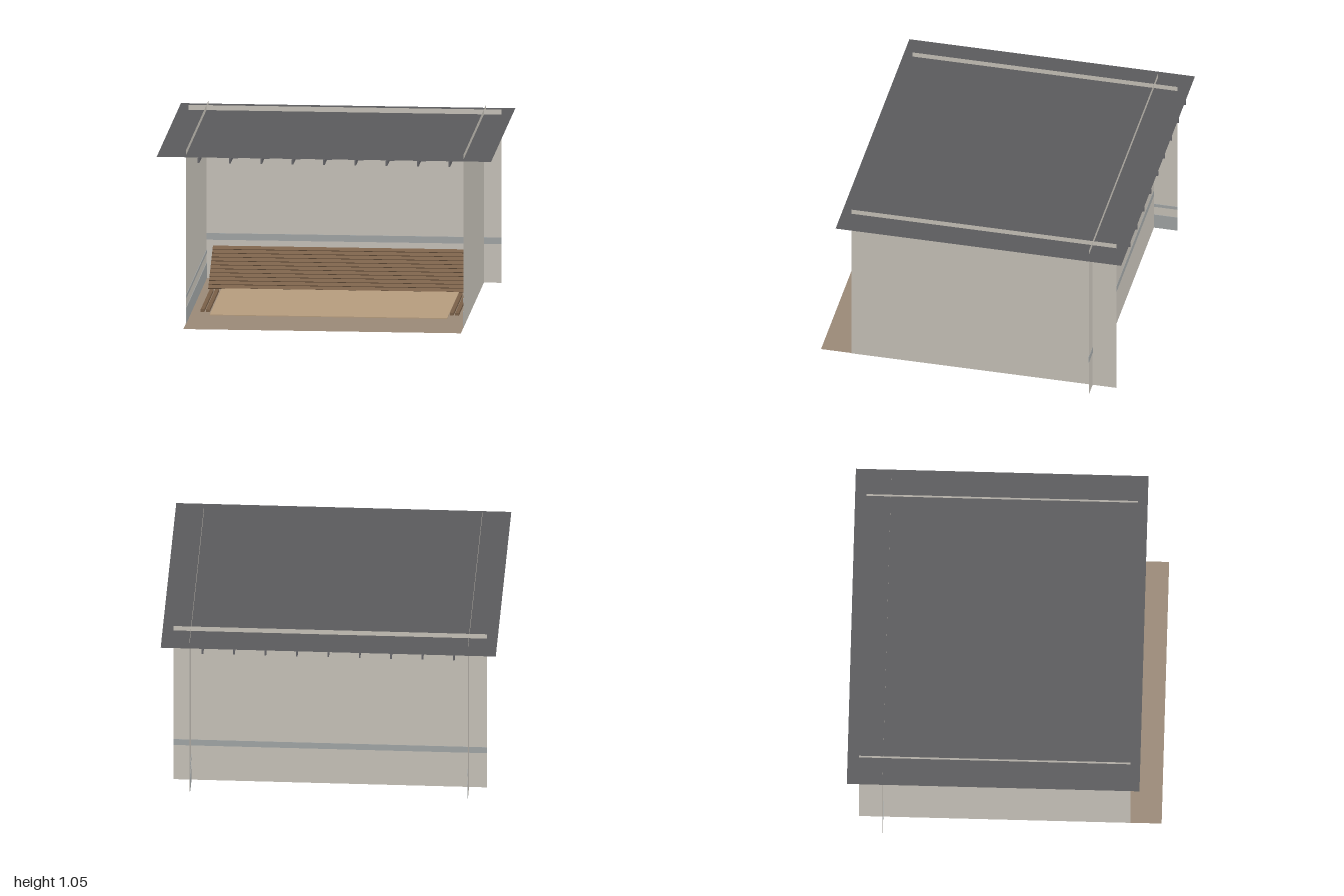
import * as THREE from 'three';

const mat = (color) => new THREE.MeshStandardMaterial({ color, side: THREE.DoubleSide });

export function createModel() {
  const model = new THREE.Group();
  const plaster = mat(0xc8c3ba), blue = mat(0xa2a6a6), roofGrey = mat(0x5b5b5d);
  const earth = mat(0x9b8a78), tan = mat(0xb79d7e), wood = mat(0x7a6048), beam = mat(0x66666a);

  const add = (name, geometry, material, x, y, z) => {
    const mesh = new THREE.Mesh(geometry, material);
    mesh.name = name;
    mesh.position.set(x, y, z);
    model.add(mesh);
    return mesh;
  };
  const box = (name, material, w, h, d, x, y, z) =>
    add(name, new THREE.BoxGeometry(w, h, d), material, x, y, z);

  const backZ = -0.725, sideX = 0.83, wallTop = 1.05;

  // Thin floor with an inset mat that shows on both faces
  add('floor', new THREE.PlaneGeometry(1.66, 1.66).rotateX(-Math.PI / 2), earth, 0, 0.002, 0.105);
  box('floorMat', tan, 1.42, 0.008, 0.86, 0, 0.003, 0.05);

  // Paper-thin walls that cross at the back corners
  add('backWall', new THREE.PlaneGeometry(1.872, wallTop), plaster, 0, wallTop / 2, backZ);
  box('backWallBand', blue, 1.872, 0.04, 0.004, 0, 0.255, backZ + 0.001);
  for (const s of [-1, 1]) {
    add('sideWall', new THREE.PlaneGeometry(1.62, wallTop).rotateY(Math.PI / 2),
      plaster, s * sideX, wallTop / 2, -0.06);
    // Skirting and a narrow stripe on the inner face
    box('skirting', blue, 0.003, 0.095, 1.62, s * (sideX - 0.002), 0.05, -0.06);
    box('sideStripe', blue, 0.003, 0.02, 1.62, s * (sideX - 0.002), 0.165, -0.06);
  }

  // Flat roof, pierced by the wall tops
  add('roof', new THREE.PlaneGeometry(2, 1.745).rotateX(-Math.PI / 2), roofGrey, 0, 1.02, -0.065);

  // Rafters with projecting ends
  for (let i = -4; i <= 4; i++) {
    box('rafter', beam, 0.01, 0.03, 1.745, i * 0.1875, 1.001, -0.065);
  }

  // Slim ceiling strips under the inner rafters
  for (let i = -3; i <= 3; i++) {
    box('ceilingStrip', beam, 0.036, 0.008, 0.8, i * 0.1875, 0.953, 0.05);
  }

  // Slatted slope rising to the back wall
  const count = 11, run = 0.345, rise = 0.197;
  const angle = Math.atan2(rise, run), pitch = Math.hypot(run, rise) / count;
  for (let i = 0; i < count; i++) {
    const t = (i + 0.5) / count;
    const slat = box('slat', wood, 1.58, 0.01, pitch * 0.84, 0, 0.002 + rise * t, -0.372 - run * t);
    slat.rotation.x = angle;
  }

  // Pairs of low rails along both sides of the floor
  for (const s of [-1, 1]) {
    for (const offset of [-0.016, 0.016]) {
      box('floorRail', wood, 0.022, 0.016, 0.66, s * 0.745 + offset, 0.012, 0.05);
    }
  }
  return model;
}
